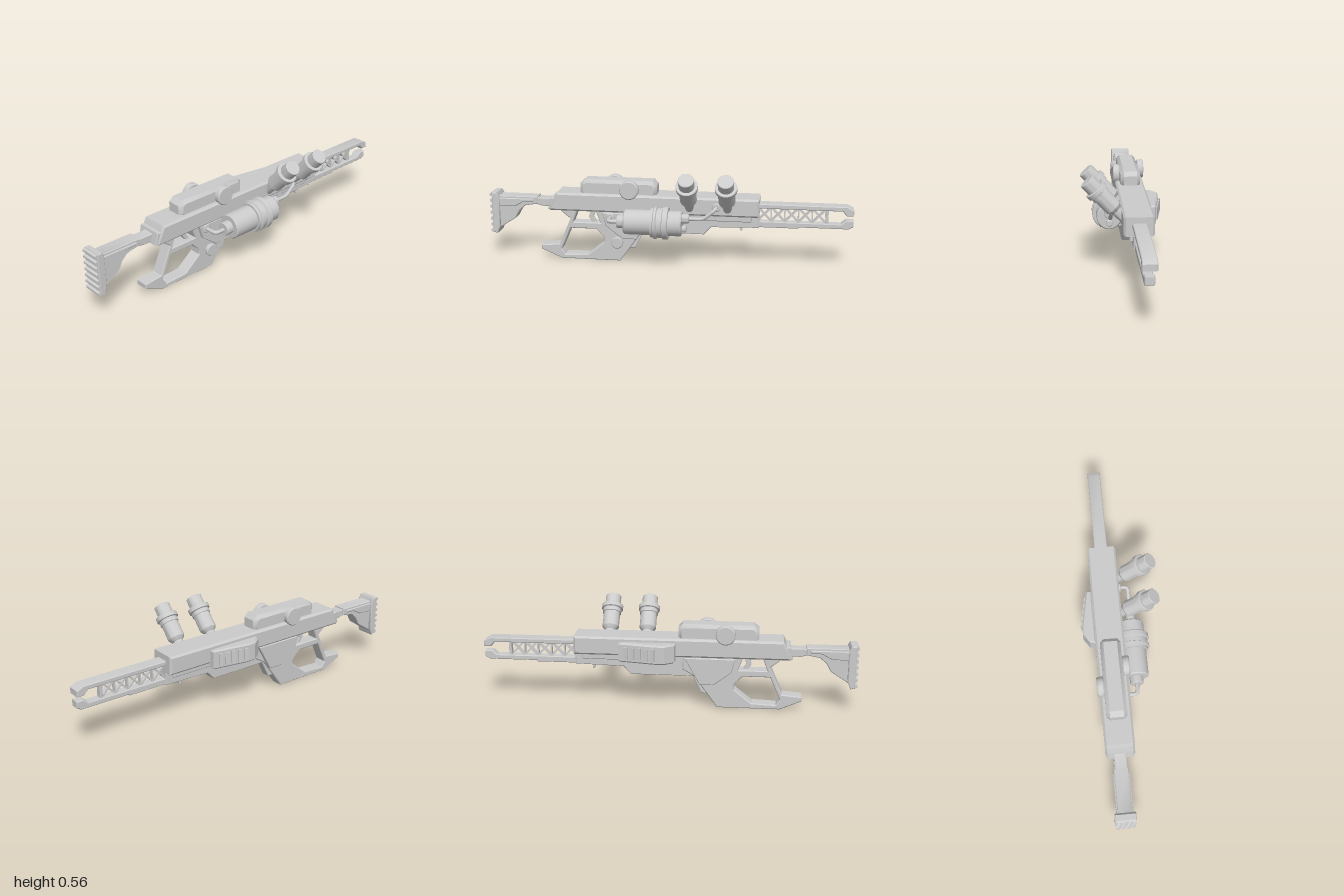
import * as THREE from 'three';
import { toCreasedNormals } from 'three/addons/utils/BufferGeometryUtils.js';

const grey = new THREE.MeshStandardMaterial({ color: 0xcccccc });
const MID = -0.066; // centre plane of the body in z

export function createModel() {
  const root = new THREE.Group();

  function add(name, geo, parent = root) {
    const m = new THREE.Mesh(toCreasedNormals(geo, 0.6), grey);
    m.name = name;
    parent.add(m);
    return m;
  }
  // Side-profile plate in xy, extruded between z0 and z1 with bevelled edges
  function plate(name, pts, z0, z1, bevel = 0.004, holes = []) {
    const v = (p) => p.map(([x, y]) => new THREE.Vector2(x, y));
    const s = new THREE.Shape(v(pts));
    holes.forEach((h) => s.holes.push(new THREE.Path(v(h))));
    const g = new THREE.ExtrudeGeometry(s, {
      depth: z1 - z0 - 2 * bevel, bevelEnabled: bevel > 0, bevelThickness: bevel,
      bevelSize: bevel, bevelOffset: -bevel, bevelSegments: 1,
    });
    g.translate(0, 0, z0 + bevel);
    return add(name, g);
  }
  const rect = (x0, x1, y0, y1) => [[x0, y0], [x1, y0], [x1, y1], [x0, y1]];
  // Turned part: profile of [radius, distance] starting at pos and running along dir
  function turned(name, profile, pos, dir, seg = 32) {
    const g = new THREE.LatheGeometry(profile.map(([r, d]) => new THREE.Vector2(r, d)), seg);
    const m = add(name, g);
    m.position.set(...pos);
    m.quaternion.setFromUnitVectors(new THREE.Vector3(0, 1, 0), new THREE.Vector3(...dir).normalize());
    return m;
  }
  const drum = (r, h, c = 0.004) => [[0, 0], [r - c, 0], [r, c], [r, h - c], [r - c, h], [0, h]];
  function pipe(name, pts, r) {
    const path = new THREE.CurvePath();
    const p = pts.map((a) => new THREE.Vector3(...a));
    // Straight runs joined by rounded corners
    let from = p[0];
    for (let i = 1; i < p.length - 1; i++) {
      const a = p[i].clone().add(p[i - 1].clone().sub(p[i]).setLength(0.022));
      const b = p[i].clone().add(p[i + 1].clone().sub(p[i]).setLength(0.022));
      path.add(new THREE.LineCurve3(from, a));
      path.add(new THREE.QuadraticBezierCurve3(a, p[i], b));
      from = b;
    }
    path.add(new THREE.LineCurve3(from, p[p.length - 1]));
    add(name, new THREE.TubeGeometry(path, 48, r, 12));
  }

  // Main receiver and the narrower body beneath it
  plate('receiver', [[-0.65, 0.29], [0.5, 0.29], [0.5, 0.39], [-0.61, 0.39], [-0.65, 0.31]], -0.142, 0.012, 0.01);
  plate('receiverRearPlate', [[-0.66, 0.295], [-0.64, 0.295], [-0.62, 0.36], [-0.645, 0.36]], -0.135, 0.005);
  plate('lowerBody', [[-0.2, 0.172], [0.2, 0.172], [0.24, 0.215], [0.5, 0.222], [0.5, 0.3], [-0.2, 0.3]], -0.095, -0.037);
  plate('lowerBodyTrim', rect(0.1, 0.46, 0.255, 0.292), -0.107, -0.02);
  plate('forwardCatch', [[0.39, 0.225], [0.4, 0.195], [0.408, 0.195], [0.412, 0.225]], -0.08, -0.052, 0.002);

  // Grip frame with two openings
  plate('gripFrame', [
    [-0.61, 0.295], [-0.59, 0.27], [-0.545, 0.235], [-0.61, 0.085], [-0.715, 0.075], [-0.715, 0.05], [-0.6, 0],
    [-0.265, 0], [-0.14, 0.175], [-0.08, 0.21], [-0.08, 0.3], [-0.61, 0.3],
  ], -0.102, -0.03, 0.005, [
    [[-0.505, 0.283], [-0.4, 0.283], [-0.375, 0.215], [-0.53, 0.215]],
    [[-0.545, 0.18], [-0.4, 0.18], [-0.355, 0.135], [-0.355, 0.105], [-0.45, 0.03], [-0.58, 0.025], [-0.6, 0.055]],
  ]);
  plate('trigger', [[-0.43, 0.29], [-0.4, 0.29], [-0.42, 0.245], [-0.4, 0.212], [-0.425, 0.212], [-0.445, 0.245]], -0.077, -0.055, 0.002);
  plate('frameHousing', [[-0.36, 0.28], [-0.34, 0.205], [-0.25, 0.135], [-0.17, 0.135], [-0.09, 0.28]], -0.121, -0.01);
  plate('frontStub', [[-0.23, 0.077], [-0.18, 0.077], [-0.13, 0.18], [-0.2, 0.2]], -0.092, -0.04);
  turned('gripPin', drum(0.033, 0.025), [-0.28, 0.108, -0.037], [0, 0, 1]);

  // Shoulder stock
  plate('stockConnector', [[-0.74, 0.31], [-0.7, 0.3], [-0.6, 0.3], [-0.6, 0.375], [-0.65, 0.345], [-0.74, 0.345]], -0.1, -0.036);
  plate('stock', [
    [-0.97, 0.15], [-0.945, 0.17], [-0.86, 0.225], [-0.835, 0.27], [-0.8, 0.3], [-0.73, 0.312],
    [-0.73, 0.352], [-0.95, 0.352], [-0.97, 0.365],
  ], -0.108, -0.032);
  plate('stockRib', [[-0.95, 0.29], [-0.86, 0.295], [-0.81, 0.322], [-0.75, 0.325], [-0.75, 0.34], [-0.95, 0.34]], -0.114, -0.026);
  const pad = [[-0.988, 0.145], [-0.965, 0.135], [-0.948, 0.18], [-0.948, 0.35], [-0.96, 0.372], [-0.988, 0.372]];
  plate('buttPad', pad, -0.125, -0.015);
  for (let i = 0; i < 7; i++) {
    const y = 0.15 + i * 0.0345;
    plate('buttPadRidge', [[-0.985, y - 0.01], [-0.985, y + 0.014], [-1, y + 0.008], [-1, y - 0.004]].reverse(), -0.122, -0.018, 0);
  }

  // Two-pronged barrel with a lattice between the rails
  plate('upperRail', [
    [0.48, 0.333], [0.94, 0.333], [0.962, 0.308], [1, 0.308], [1, 0.34], [0.965, 0.358], [0.48, 0.358],
  ], -0.102, -0.031);
  plate('lowerRail', [
    [0.48, 0.225], [0.71, 0.225], [0.715, 0.232], [0.975, 0.232], [1, 0.245], [1, 0.28], [0.96, 0.28], [0.935, 0.258], [0.48, 0.258],
  ], -0.09, -0.042);
  plate('latticePost', rect(0.853, 0.868, 0.25, 0.34), -0.082, -0.05, 0.002);
  const step = 0.073, a0 = 0.49, h = 0.078;
  for (let i = 0; i < 5; i++) {
    for (const s of [-1, 1]) {
      const g = new THREE.BoxGeometry(Math.hypot(step, h), 0.009, 0.024);
      const m = add('latticeBrace', g);
      m.position.set(a0 + step * (i + 0.5), 0.296, MID);
      m.rotation.z = s * Math.atan2(h, step);
    }
    if (i) plate('latticeUpright', rect(a0 + step * i - 0.004, a0 + step * i + 0.004, 0.25, 0.34), -0.076, -0.056, 0);
  }

  // Sight housing on top, with a dial on each side
  plate('sight', [
    [-0.455, 0.365], [-0.08, 0.365], [-0.057, 0.385], [-0.057, 0.44], [-0.08, 0.464], [-0.455, 0.464], [-0.482, 0.44], [-0.482, 0.385],
  ], -0.12, -0.012, 0.018);
  turned('sightDial', drum(0.052, 0.037, 0.006), [-0.205, 0.419, -0.014], [0, 0, 1]);
  turned('sightDial', drum(0.052, 0.037, 0.006), [-0.307, 0.419, -0.118], [0, 0, -1]);

  // Wedge-shaped cover on the back side, drawn from above and extruded upward
  const wedge = new THREE.Shape([
    [-0.045, 0.14], [0.255, 0.14], [0.255, 0.17], [0.06, 0.205], [0.01, 0.205], [-0.04, 0.17],
  ].map(([x, d]) => new THREE.Vector2(x, d)));
  const wg = new THREE.ExtrudeGeometry(wedge, {
    depth: 0.089, bevelThickness: 0.008, bevelSize: 0.008, bevelOffset: -0.008, bevelSegments: 1,
  });
  wg.rotateX(-Math.PI / 2).translate(0, 0.273, 0);
  add('sideCover', wg);
  for (let i = 0; i < 5; i++) {
    const x = 0.07 + i * 0.036;
    const m = add('sideCoverSlat', new THREE.BoxGeometry(0.022, 0.065, 0.016));
    m.position.set(x, 0.318, -0.205 + (x - 0.06) * 0.18);
    m.rotation.y = -0.32;
  }

  // Pressure canister along the +z side
  const cy = 0.258, cz = 0.06;
  turned('canister', [
    [0, -0.262], [0.033, -0.262], [0.036, -0.258], [0.036, -0.222], [0.062, -0.222], [0.068, -0.215], [0.068, -0.075],
    [0.08, -0.075], [0.08, -0.06], [0.088, -0.056], [0.088, -0.044], [0.08, -0.04], [0.08, -0.012],
    [0.088, -0.008], [0.088, 0.016], [0.084, 0.02], [0.068, 0.02], [0.068, 0.085], [0.062, 0.092], [0, 0.092],
  ], [0, cy, cz], [1, 0, 0], 40);
  turned('canisterValve', drum(0.026, 0.06), [0.07, 0.287, cz], [1, 0, 0], 24);
  turned('canisterValve', drum(0.018, 0.045), [0.07, 0.23, cz], [1, 0, 0], 24);
  plate('canisterMount', rect(-0.16, 0.06, 0.235, 0.29), -0.05, 0.02);

  // Feed pipes and their bosses
  pipe('rearPipe', [[-0.315, 0.255, -0.05], [-0.315, 0.255, cz], [-0.25, 0.255, cz]], 0.011);
  turned('pipeBoss', drum(0.024, 0.03), [-0.315, 0.255, -0.035], [0, 0, 1], 24);
  pipe('frontPipe', [[0.12, 0.287, cz], [0.205, 0.287, cz], [0.27, 0.342, cz], [0.27, 0.342, 0]], 0.01);
  turned('pipeBoss', drum(0.024, 0.016), [0.27, 0.342, 0.006], [0, 0, 1], 24);

  // Pair of tilted tubes on the +z shoulder
  for (const x of [0.125, 0.33]) {
    turned('tiltedTube', [
      [0, -0.02], [0.024, -0.02], [0.028, 0.045], [0.038, 0.055], [0.045, 0.065], [0.045, 0.15], [0.05, 0.15], [0.05, 0.172],
      [0.058, 0.175], [0.058, 0.197], [0.054, 0.2], [0.042, 0.2], [0.042, 0.254], [0.039, 0.257], [0, 0.257],
    ], [x, 0.342, 0.009], [0, 0.189, 0.176]);
  }
  return root;
}
